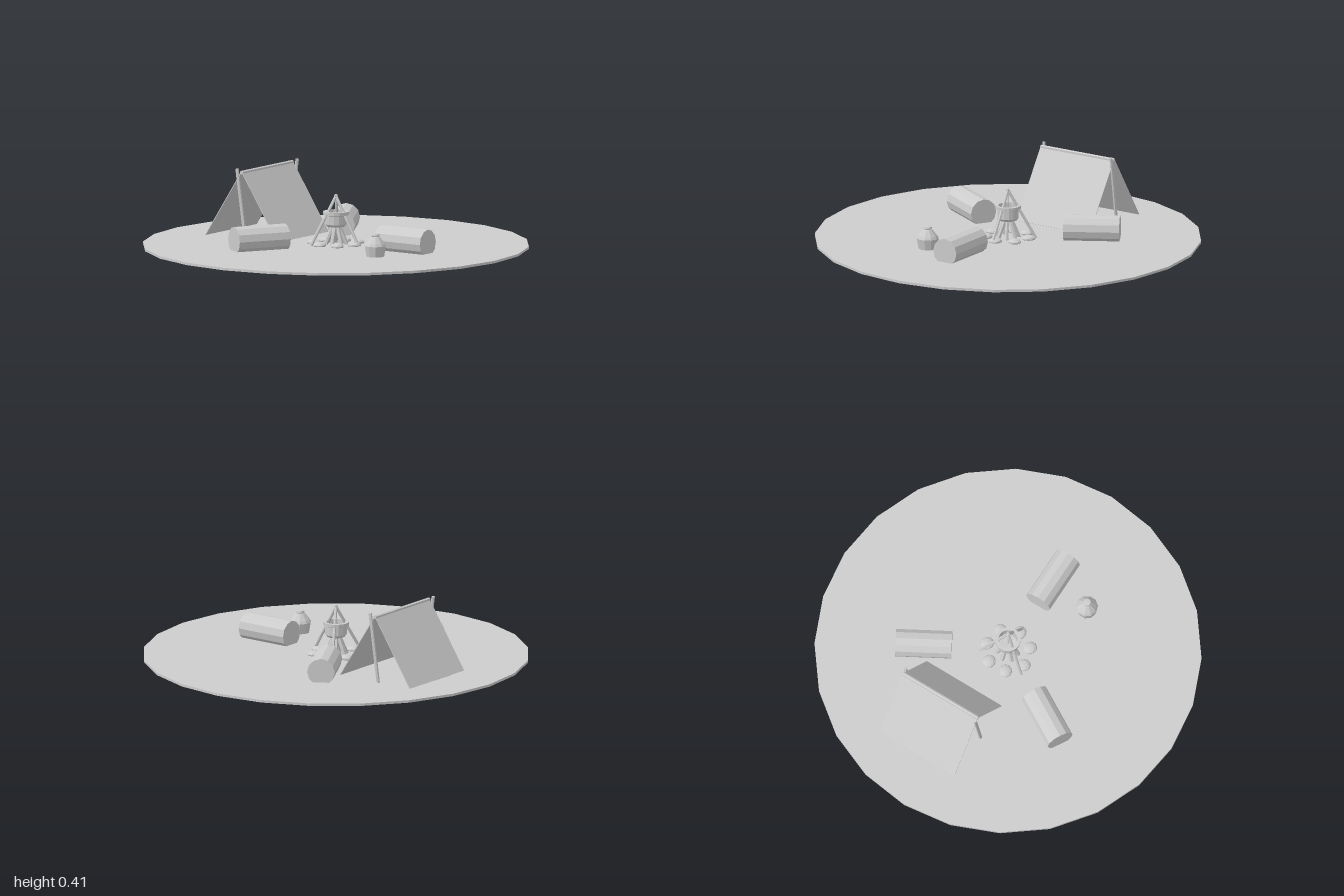
import * as THREE from 'three';

const ash = new THREE.MeshStandardMaterial({ color: 0xcccccc, flatShading: true });
ash.name = 'ash grey';
const open = new THREE.MeshStandardMaterial({ color: 0xcccccc, flatShading: true, side: THREE.DoubleSide });
open.name = 'ash grey open surface';

const V = (x, y, z) => new THREE.Vector3(x, y, z);

function add(parent, name, geometry, material = ash) {
  const mesh = new THREE.Mesh(geometry, material);
  mesh.name = name;
  parent.add(mesh);
  return mesh;
}

// Straight round rod between two points
function rod(parent, name, a, b, radius, sides = 6, endRadius = radius) {
  const dir = b.clone().sub(a);
  const mesh = add(parent, name, new THREE.CylinderGeometry(endRadius, radius, dir.length(), sides));
  mesh.position.copy(a).add(b).multiplyScalar(0.5);
  mesh.quaternion.setFromUnitVectors(V(0, 1, 0), dir.normalize());
  return mesh;
}

function lathe(parent, name, points, sides) {
  return add(parent, name,
    new THREE.LatheGeometry(points.map(([r, y]) => new THREE.Vector2(r, y)), sides), open);
}

function makeTent() {
  const tent = new THREE.Group();
  tent.name = 'tent';
  const front = 0.135, back = -0.322, ridgeX = -0.502;

  // Two sloping cloth sides
  for (const [name, x] of [['leftCloth', -0.275], ['rightCloth', -0.73]]) {
    const dx = x - ridgeX, dy = 0.045 - 0.395;
    const cloth = add(tent, name, new THREE.BoxGeometry(Math.hypot(dx, dy), 0.004, front - back));
    cloth.position.set(ridgeX + dx / 2, 0.395 + dy / 2, (front + back) / 2);
    cloth.rotation.z = Math.atan2(dy, dx);
  }

  // Ridge pole and one leaning pole at each end
  rod(tent, 'ridgePole', V(ridgeX, 0.39, back), V(ridgeX, 0.39, front), 0.01);
  rod(tent, 'frontPole', V(-0.472, 0.002, front), V(-0.53, 0.408, front), 0.009);
  rod(tent, 'backPole', V(-0.53, 0.002, back), V(-0.472, 0.408, back), 0.009);
  return tent;
}

function makeCampfire() {
  const fire = new THREE.Group();
  fire.name = 'campfire';

  // Ring of seven flat stones
  for (let i = 0; i < 7; i++) {
    const a = (i / 7) * Math.PI * 2;
    const stone = add(fire, 'stone', new THREE.IcosahedronGeometry(0.037, 1));
    stone.scale.set(1, 0.45, 0.93);
    stone.position.set(Math.cos(a) * 0.115, 0.05, Math.sin(a) * 0.115);
    stone.rotation.y = -a + (i % 3) * 0.4;
  }

  // Leaning firewood
  for (let i = 0; i < 7; i++) {
    const a = ((i + 0.5) / 7) * Math.PI * 2, c = Math.cos(a), s = Math.sin(a);
    rod(fire, 'firewood', V(c * 0.058, 0.04, s * 0.058), V(c * 0.016, 0.14, s * 0.016), 0.011);
  }

  // Tripod legs crossing at the top
  for (let i = 0; i < 3; i++) {
    const a = (i / 3) * Math.PI * 2, c = Math.cos(a), s = Math.sin(a);
    rod(fire, 'tripodLeg', V(c * 0.152, 0.03, s * 0.152), V(-c * 0.004, 0.302, -s * 0.004), 0.008);
  }

  // Cooking pot with a thick rim, hung from the tripod
  lathe(fire, 'pot', [[0, 0.138], [0.046, 0.138], [0.056, 0.15], [0.056, 0.196], [0.067, 0.2],
    [0.067, 0.216], [0.05, 0.216], [0.047, 0.155], [0, 0.15]], 14);
  rod(fire, 'potHook', V(0, 0.15, 0), V(0, 0.285, 0), 0.003, 5);
  return fire;
}

export function createModel() {
  const camp = new THREE.Group();
  camp.name = 'campsite';

  // Round ground
  add(camp, 'ground', new THREE.CylinderGeometry(1, 1, 0.013, 24)).position.y = 0.0385;

  camp.add(makeTent(), makeCampfire());

  // Three log seats pointing at the fire
  for (let i = 0; i < 3; i++) {
    const holder = new THREE.Group();
    holder.name = 'logSeat';
    holder.rotation.y = (i / 3) * Math.PI * 2;
    const geometry = new THREE.CylinderGeometry(0.072, 0.072, 0.29, 12);
    geometry.rotateZ(Math.PI / 2);
    add(holder, 'log', geometry).position.set(0.435, 0.099, 0);
    camp.add(holder);
  }

  // Lidded jar beside the log
  const jar = new THREE.Group();
  jar.name = 'jar';
  jar.position.set(0.407, 0, 0.225);
  lathe(jar, 'jarBody', [[0, 0.034], [0.046, 0.034], [0.057, 0.1], [0.05, 0.113],
    [0.024, 0.146], [0.017, 0.149]], 10);
  lathe(jar, 'jarLid', [[0.016, 0.144], [0.023, 0.152], [0.02, 0.161], [0, 0.163]], 10);
  camp.add(jar);

  return camp;
}
